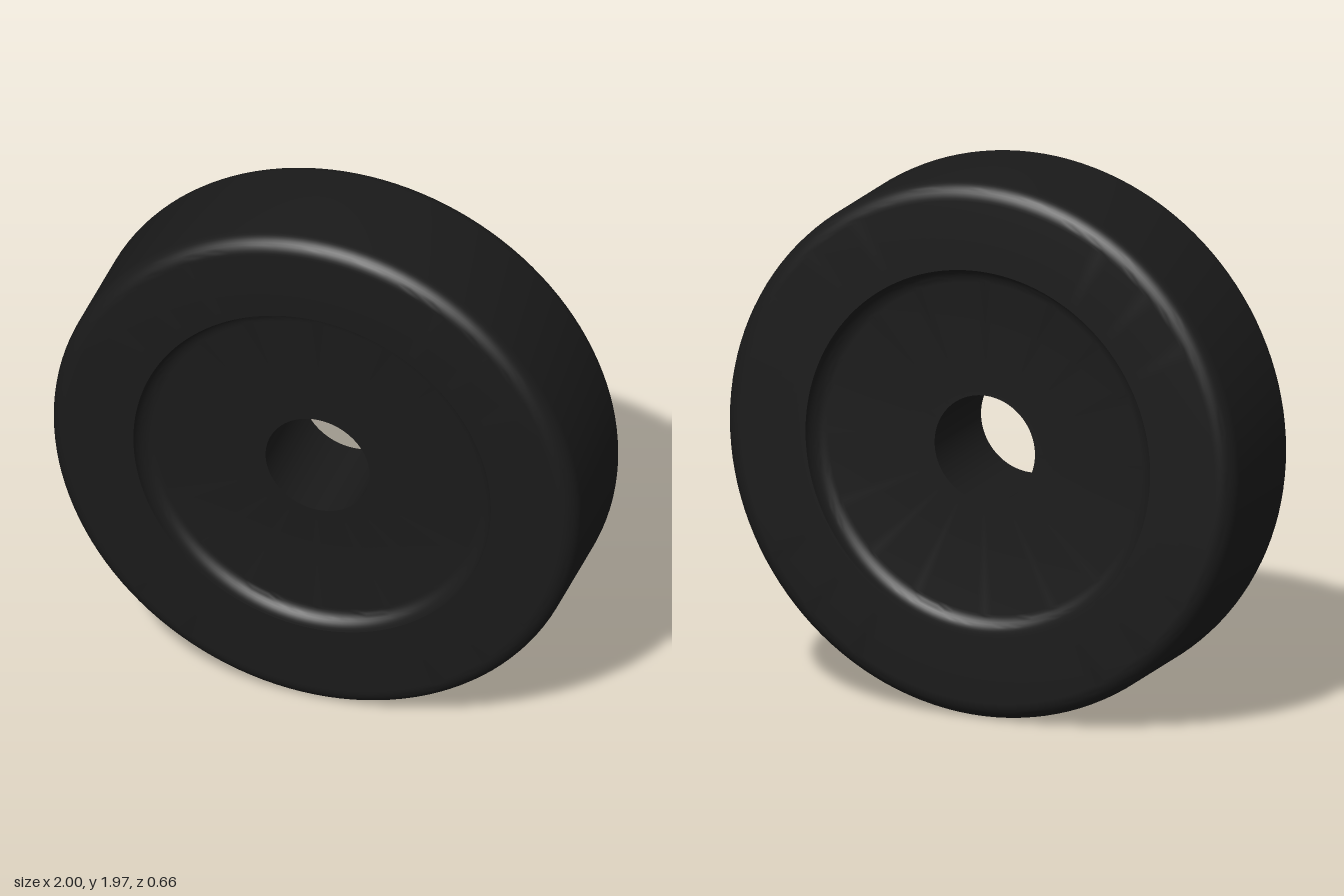
import * as THREE from 'three';
import { toCreasedNormals } from 'three/addons/utils/BufferGeometryUtils.js';

const RADIUS = 0.987, HALF_WIDTH = 0.26, CORNER = 0.065;
const RECESS_RADIUS = 0.67, RECESS_DEPTH = 0.06, BORE = 0.195;

// Points along a circular arc in the profile plane, angles in degrees
function arc(cx, cy, r, from, to, steps = 10) {
  return Array.from({ length: steps + 1 }, (_, i) => {
    const a = THREE.MathUtils.degToRad(from + ((to - from) * i) / steps);
    return new THREE.Vector2(cx + r * Math.cos(a), cy + r * Math.sin(a));
  });
}

export function createModel() {
  const group = new THREE.Group();
  group.name = 'wheel';

  // Half profile: bore edge, recess floor, filleted recess wall, side face, rounded tread edge
  const half = [
    new THREE.Vector2(BORE, -HALF_WIDTH + RECESS_DEPTH),
    ...arc(RECESS_RADIUS - RECESS_DEPTH, -HALF_WIDTH, RECESS_DEPTH, 90, 0),
    ...arc(RADIUS - CORNER, -HALF_WIDTH + CORNER, CORNER, -90, 0),
  ];
  // Mirror to the other side and close through the bore
  const mirrored = half.map((p) => new THREE.Vector2(p.x, -p.y)).reverse();
  const profile = [...half, ...mirrored, half[0].clone()];

  const geometry = toCreasedNormals(new THREE.LatheGeometry(profile, 128), Math.PI / 6);
  geometry.rotateX(Math.PI / 2);

  const disc = new THREE.Mesh(geometry, new THREE.MeshStandardMaterial({ color: 0x1a1a1a }));
  disc.name = 'wheelDisc';
  disc.position.y = RADIUS;
  disc.rotation.y = -0.079; // slight turn about the vertical
  group.add(disc);
  return group;
}
